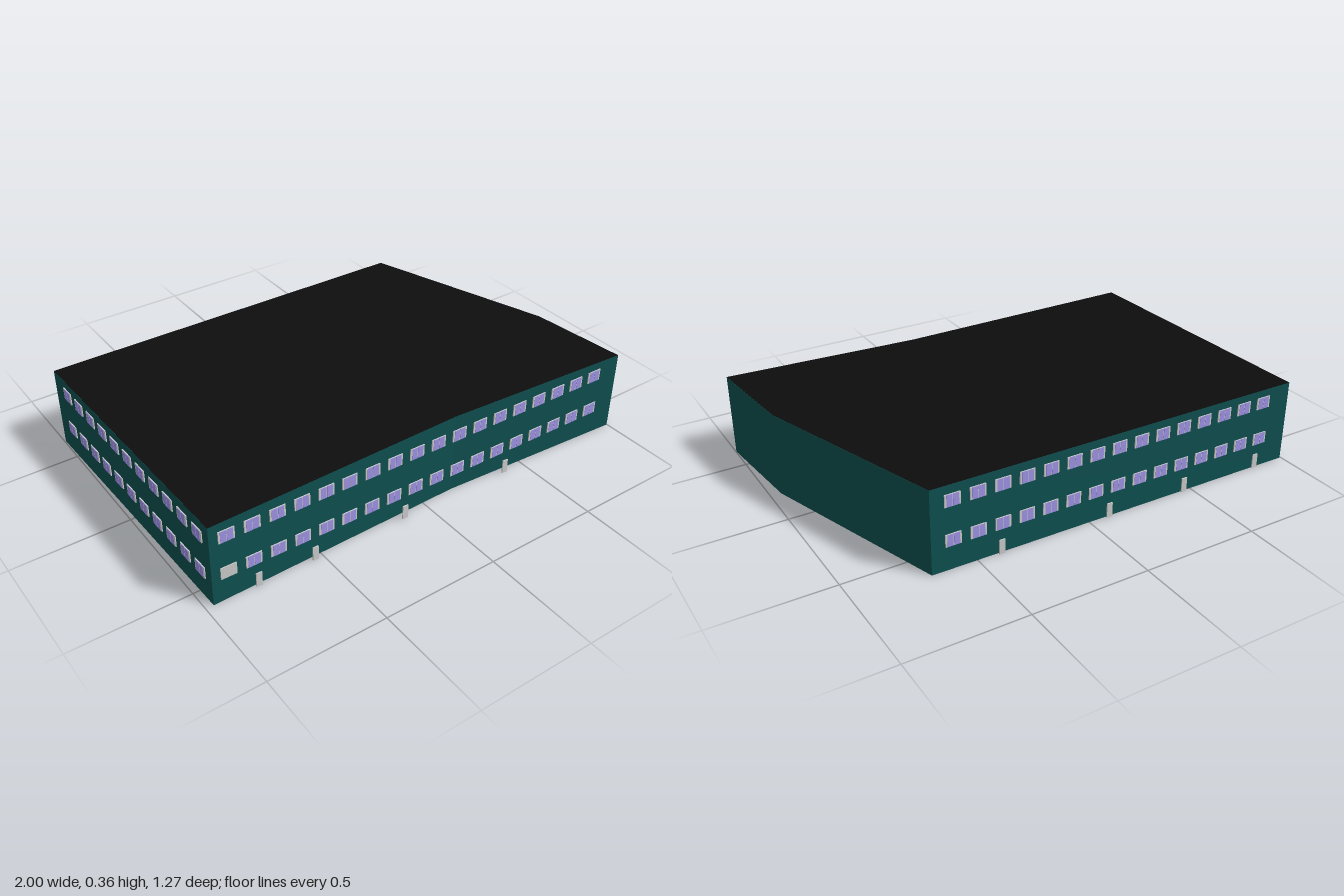
import * as THREE from 'three';

const HEIGHT = 0.36;
// Footprint corners as [x, z]
const FOOTPRINT = [[-0.995, -0.63], [0.69, -0.622], [0.955, 0.2], [0.998, 0.63], [0.15, 0.578], [-0.967, 0.594]];

const teal = new THREE.MeshStandardMaterial({ color: 0x0f5050 });
const black = new THREE.MeshStandardMaterial({ color: 0x0d0d0d });
const grey = new THREE.MeshStandardMaterial({ color: 0xcccccc });
const lilac = new THREE.MeshStandardMaterial({ color: 0xa094e8 });

const frameGeo = new THREE.BoxGeometry(0.066, 0.052, 0.004);
const paneGeo = new THREE.BoxGeometry(0.024, 0.05, 0.006);
const doorGeo = new THREE.BoxGeometry(0.025, 0.062, 0.005);

function addMesh(parent, name, geometry, material, x = 0, y = 0, z = 0) {
  const mesh = new THREE.Mesh(geometry, material);
  mesh.name = name;
  mesh.position.set(x, y, z);
  parent.add(mesh);
  return mesh;
}

// A window: grey frame with two lilac panes, or a plain grey shutter
function addWindow(parent, x, y, shuttered) {
  const group = new THREE.Group();
  group.name = 'window';
  group.position.set(x, y, 0);
  addMesh(group, 'windowFrame', frameGeo, grey);
  if (!shuttered) {
    for (const side of [-1, 1]) addMesh(group, 'windowPane', paneGeo, lilac, side * 0.0135, 0, 0.0005);
  }
  parent.add(group);
}

// Two rows of windows plus doors, laid out along the line from a to b
function addFacade(parent, { name, a, b, count, first, pitch, doors, shutter }) {
  const facade = new THREE.Group();
  facade.name = name;
  facade.position.set(a[0], 0, a[1]);
  facade.rotation.y = Math.atan2(a[1] - b[1], b[0] - a[0]);
  for (let i = 0; i < count; i++) {
    addWindow(facade, first + i * pitch, 0.303, false);
    addWindow(facade, first + i * pitch, 0.136, shutter && i === 0);
  }
  for (const x of doors) addMesh(facade, 'door', doorGeo, grey, x, 0.032);
  parent.add(facade);
}

export function createModel() {
  const model = new THREE.Group();
  model.name = 'building';

  // Walls and floor
  const outline = new THREE.Shape(FOOTPRINT.map(([x, z]) => new THREE.Vector2(x, -z)));
  const walls = new THREE.ExtrudeGeometry(outline, { depth: HEIGHT - 0.001, bevelEnabled: false });
  addMesh(model, 'walls', walls.rotateX(-Math.PI / 2), teal);

  // Flat roof
  const roof = new THREE.ShapeGeometry(outline).rotateX(-Math.PI / 2);
  addMesh(model, 'roof', roof, black, 0, HEIGHT, 0);

  // Facades stand on straight lines just outside the walls
  addFacade(model, {
    name: 'frontFacade', a: [-0.965, 0.6], b: [0.995, 0.63],
    count: 18, first: 0.065, pitch: 0.1038, doors: [0.185, 0.43, 0.85, 1.365], shutter: true,
  });
  addFacade(model, {
    name: 'backFacade', a: [0.69, -0.633], b: [-0.995, -0.633],
    count: 15, first: 0.086, pitch: 0.1042, doors: [0.29, 0.78, 1.153, 1.534],
  });
  addFacade(model, {
    name: 'sideFacade', a: [-0.999, -0.63], b: [-0.975, 0.6],
    count: 11, first: 0.125, pitch: 0.1036, doors: [],
  });
  return model;
}
